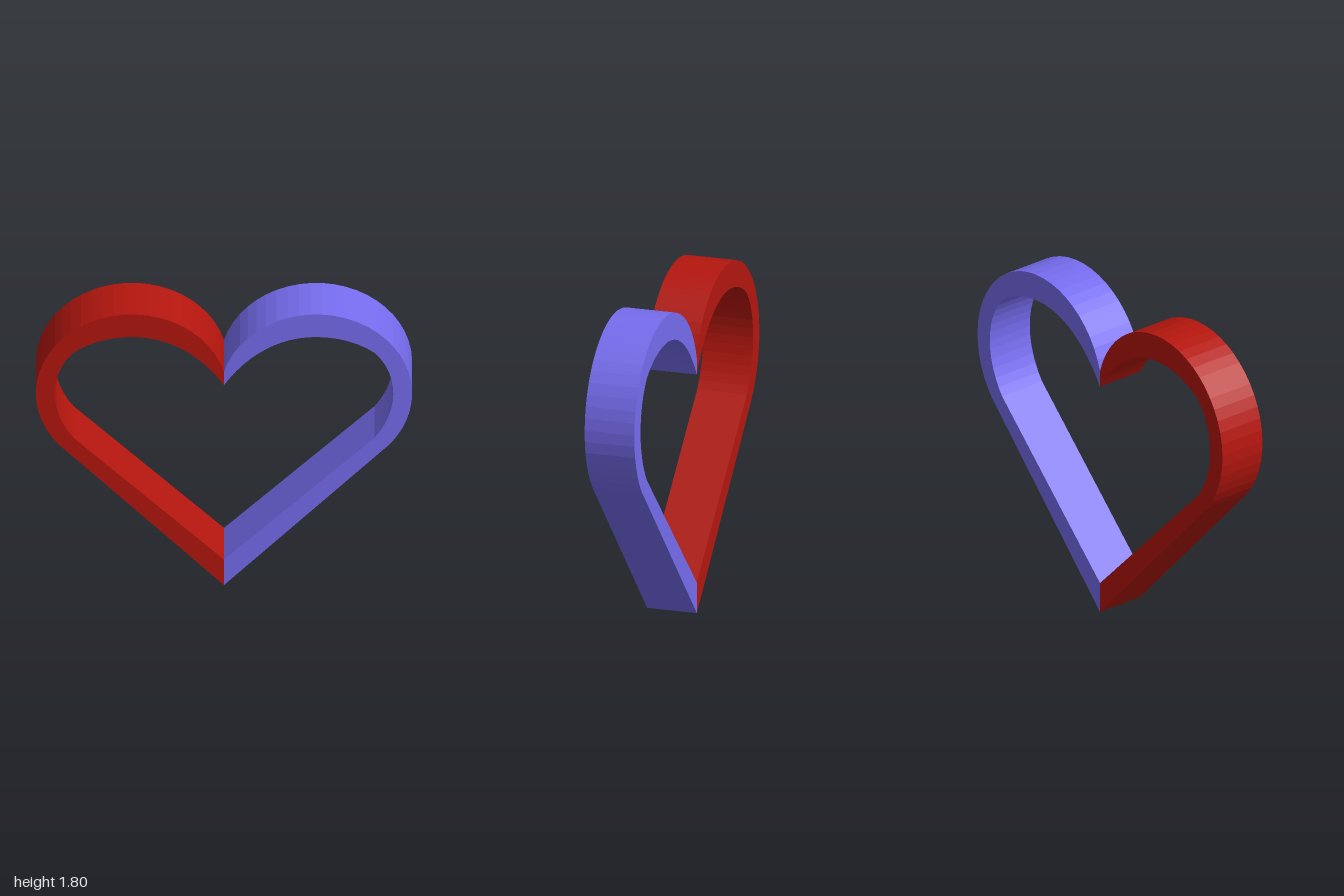
import * as THREE from 'three';

const DEPTH = 0.28;

// One half of the heart band, as a closed outline; side is +1 or -1
function heartHalf(side, color, name) {
  const points = [new THREE.Vector2(0, 0)];

  // Outer lobe: an elliptical arc from the straight flank to the cleft
  const steps = 30, start = -0.84, end = 2.861;
  for (let i = 0; i <= steps; i++) {
    const a = start + (end - start) * i / steps;
    points.push(new THREE.Vector2(Math.max(0, 0.49 + 0.51 * Math.cos(a)), 1.275 + 0.525 * Math.sin(a)));
  }

  // Inner lobe, from the cleft back down to the straight flank
  const inner = [
    [0, 1.33, 0.13, 1.54, 0.30, 1.65, 0.49, 1.65],
    [0.49, 1.65, 0.61, 1.65, 0.72, 1.61, 0.80, 1.545],
    [0.80, 1.545, 0.87, 1.47, 0.90, 1.37, 0.90, 1.27],
    [0.90, 1.27, 0.90, 1.17, 0.86, 1.06, 0.80, 0.98],
  ];
  inner.forEach((c, k) => {
    const v = (i) => new THREE.Vector2(c[i], c[i + 1]);
    const arc = new THREE.CubicBezierCurve(v(0), v(2), v(4), v(6)).getPoints(k === 0 ? 12 : 6);
    points.push(...(k === 0 ? arc : arc.slice(1)));
  });
  points.push(new THREE.Vector2(0, 0.17));

  points.forEach((p) => { p.x *= side; });
  const geometry = new THREE.ExtrudeGeometry(new THREE.Shape(points), { depth: DEPTH, bevelEnabled: false });
  geometry.translate(0, 0, -DEPTH / 2);
  const mesh = new THREE.Mesh(geometry, new THREE.MeshStandardMaterial({ color, flatShading: true }));
  mesh.name = name;
  return mesh;
}

export function createModel() {
  const group = new THREE.Group();
  group.name = 'heartFrame';
  group.add(heartHalf(1, 0x766cee, 'leftHalf'));
  group.add(heartHalf(-1, 0xb4160e, 'rightHalf'));
  return group;
}
